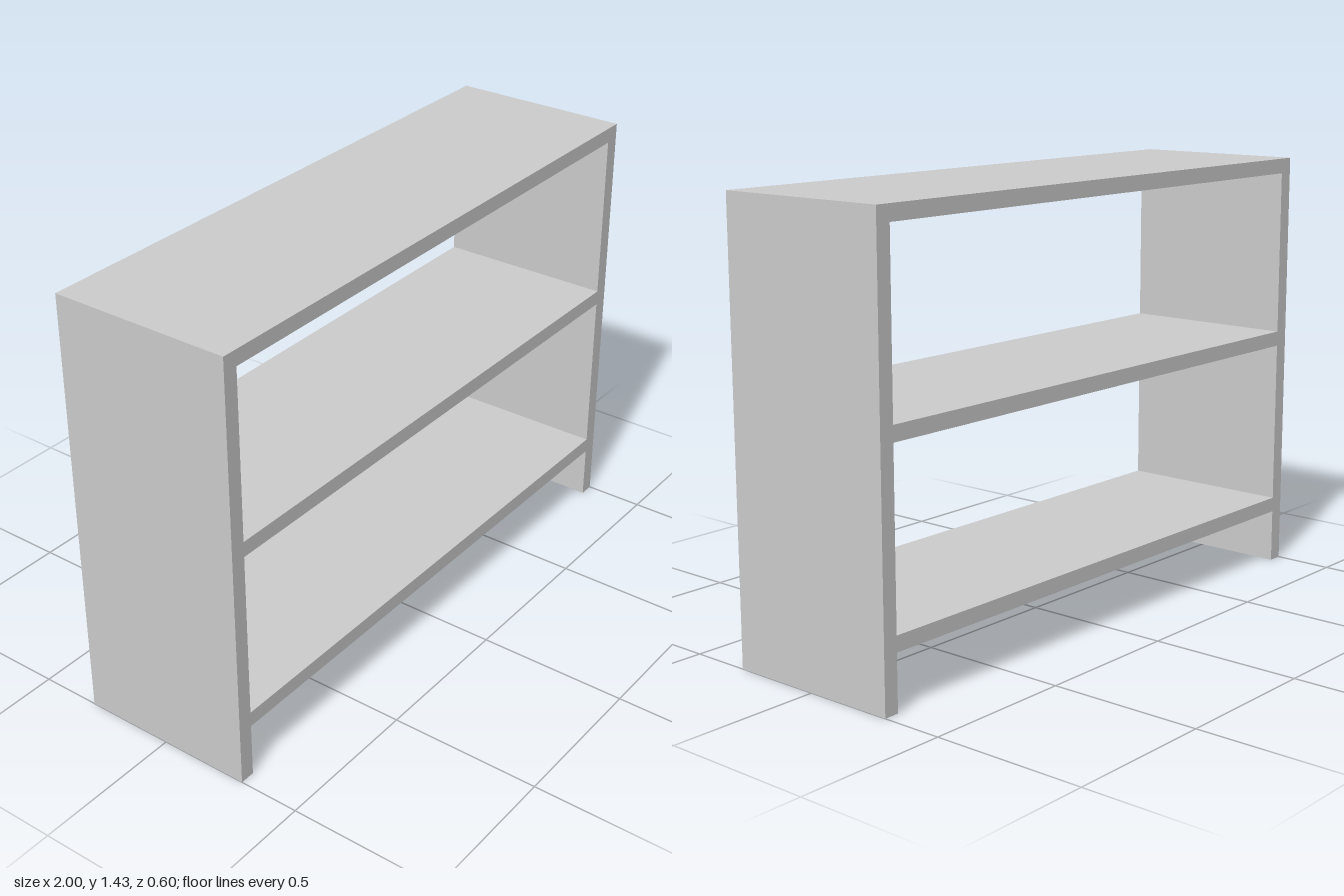
import * as THREE from 'three';

const W = 2, H = 1.43, D = 0.6, T = 0.05; // overall size and board thickness
const RIM = 0.02, SKIN = 0.003;           // underside rim width, top sheet thickness

// Hollow upright: a box with its bottom face left out
function uprightGeometry() {
  const geo = new THREE.BoxGeometry(T, H, D);
  const index = Array.from(geo.index.array);
  index.splice(18, 6);
  geo.setIndex(index);
  geo.clearGroups();
  return geo;
}

// Rectangular frame that forms the folded edge under a shelf
function rimGeometry(w, d, h) {
  const rect = (target, x, y) => {
    target.moveTo(-x, -y);
    target.lineTo(x, -y);
    target.lineTo(x, y);
    target.lineTo(-x, y);
    target.closePath();
    return target;
  };
  const shape = rect(new THREE.Shape(), w / 2, d / 2);
  shape.holes.push(rect(new THREE.Path(), w / 2 - RIM, d / 2 - RIM));
  const geo = new THREE.ExtrudeGeometry(shape, { depth: h, bevelEnabled: false });
  return geo.rotateX(-Math.PI / 2);
}

export function createModel() {
  const model = new THREE.Group();
  model.name = 'shelvingUnit';
  const grey = new THREE.MeshStandardMaterial({ color: 0xcccccc, side: THREE.DoubleSide });
  grey.name = 'lightGrey';

  const add = (parent, name, geo, x, y, z) => {
    const mesh = new THREE.Mesh(geo, grey);
    mesh.name = name;
    mesh.position.set(x, y, z);
    parent.add(mesh);
  };

  // Side uprights
  const upright = uprightGeometry();
  add(model, 'leftUpright', upright, W / 2 - T / 2, H / 2, 0);
  add(model, 'rightUpright', upright, -W / 2 + T / 2, H / 2, 0);

  // Three shelves, hollow underneath
  const shelfW = W - 2 * T;
  const rim = rimGeometry(shelfW, D, T - SKIN);
  const sheet = new THREE.BoxGeometry(shelfW, SKIN, D);
  const tops = { bottomShelf: 0.23, middleShelf: 0.83, topShelf: H };
  for (const [name, top] of Object.entries(tops)) {
    const shelf = new THREE.Group();
    shelf.name = name;
    add(shelf, 'shelfRim', rim, 0, top - T, 0);
    add(shelf, 'shelfSheet', sheet, 0, top - SKIN / 2, 0);
    model.add(shelf);
  }
  return model;
}
